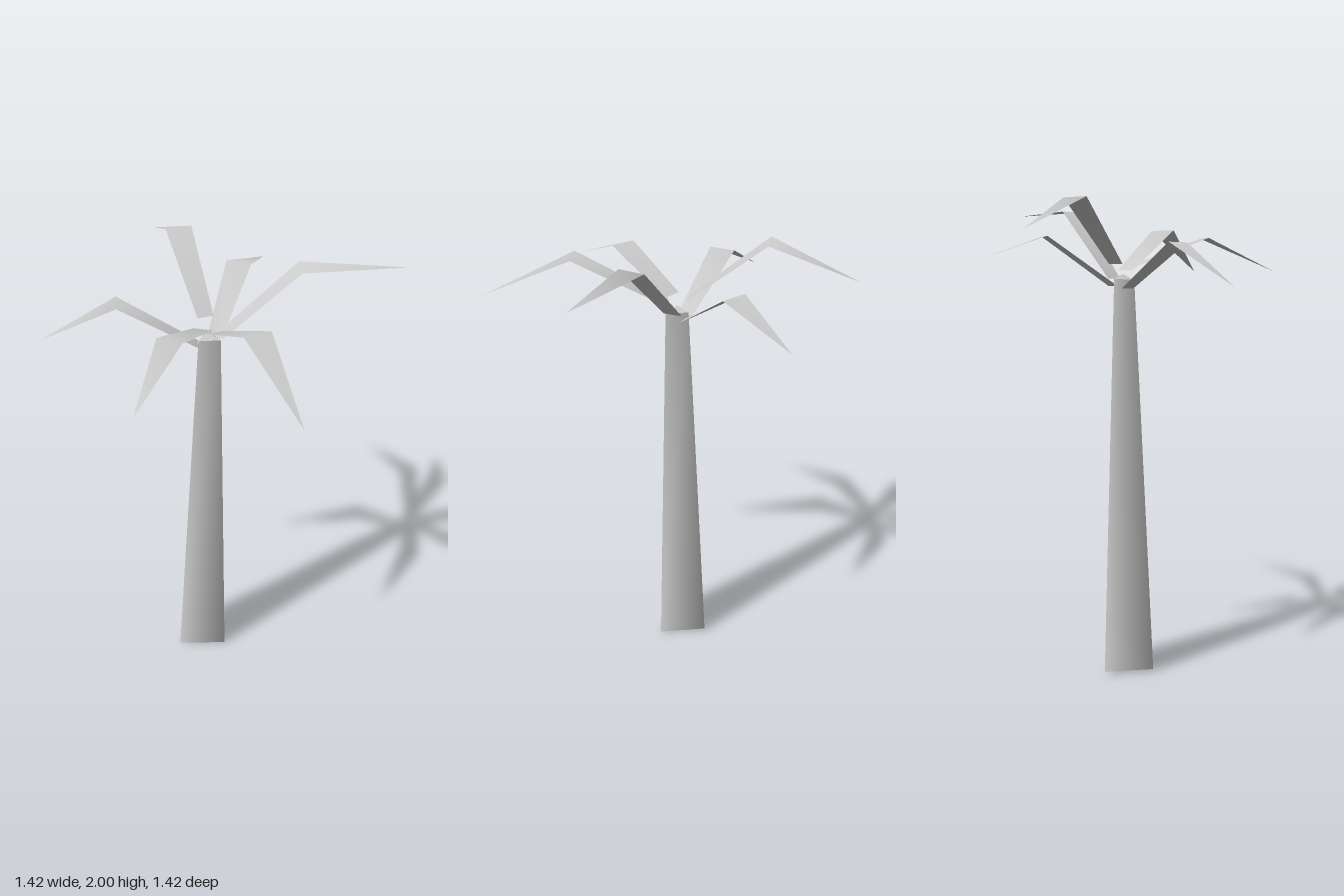
import * as THREE from 'three';

const bark = new THREE.MeshStandardMaterial({ color: 0xcccccc, side: THREE.DoubleSide });
bark.name = 'pale grey';

// Indexed mesh with smooth normals across shared corners
function surface(name, points, faces) {
  const geometry = new THREE.BufferGeometry();
  geometry.setAttribute('position', new THREE.Float32BufferAttribute(points.flat(), 3));
  geometry.setIndex(faces.flat());
  geometry.computeVertexNormals();
  const mesh = new THREE.Mesh(geometry, bark);
  mesh.name = name;
  return mesh;
}

// Frond: base pair, bend pair (left and right looking outward) and a pointed tip.
// Pairs are [x, z, x, z]; heights are [base, bend, tip].
function frond(name, base, bend, tip, [y0, y1, y2]) {
  const points = [
    [base[0], y0, base[1]], [base[2], y0, base[3]],
    [bend[0], y1, bend[1]], [bend[2], y1, bend[3]],
    [tip[0], y2, tip[1]],
  ];
  return surface(name, points, [[0, 1, 2], [1, 3, 2], [2, 3, 4]]);
}

export function createModel() {
  const model = new THREE.Group();
  model.name = 'palmTree';

  // Three-sided leaning, tapering trunk, open at the foot
  const foot = [[-0.2, 0.01, 0.005], [0.017, 0, 0.017], [-0.08, 0.012, -0.172]];
  const top = [[-0.088, 1.685, -0.005], [0.0, 1.685, 0.0], [-0.045, 1.69, -0.08]];
  const sides = [];
  for (let i = 0; i < 3; i++) {
    const j = (i + 1) % 3;
    sides.push([i, j, j + 3], [i, j + 3, i + 3]);
  }
  model.add(surface('trunk', [...foot, ...top], sides));

  // Low pyramid on top of the trunk, with sharp edges
  const apex = [-0.045, 1.71, -0.03];
  const cap = top.flatMap((p, i) => [p, top[(i + 1) % 3], apex]);
  model.add(surface('trunkTip', cap, [[0, 1, 2], [3, 4, 5], [6, 7, 8]]));

  // Crown of six bent fronds
  model.add(
    frond('leftFrond', [0, -0.07, 0.005, 0.005], [0.305, -0.055, 0.3, 0.05], [0.71, 0.04], [1.69, 1.98, 1.98]),
    frond('backLeftFrond', [-0.05, -0.065, 0.01, -0.06], [0.06, -0.35, 0.155, -0.3], [0.25, -0.605], [1.66, 1.86, 1.75]),
    frond('backRightFrond', [-0.085, -0.07, -0.02, -0.085], [-0.185, -0.36, -0.08, -0.385], [-0.222, -0.71], [1.75, 2.0, 1.86]),
    frond('rightFrond', [-0.09, -0.012, -0.085, -0.075], [-0.4, -0.025, -0.4, -0.132], [-0.715, -0.115], [1.65, 1.83, 1.66]),
    frond('frontRightFrond', [-0.03, 0.015, -0.105, -0.01], [-0.17, 0.315, -0.26, 0.265], [-0.362, 0.573], [1.74, 1.86, 1.725]),
    frond('frontLeftFrond', [0.01, -0.005, -0.06, 0.015], [0.145, 0.34, 0.042, 0.375], [0.21, 0.708], [1.725, 1.905, 1.725]),
  );
  return model;
}
